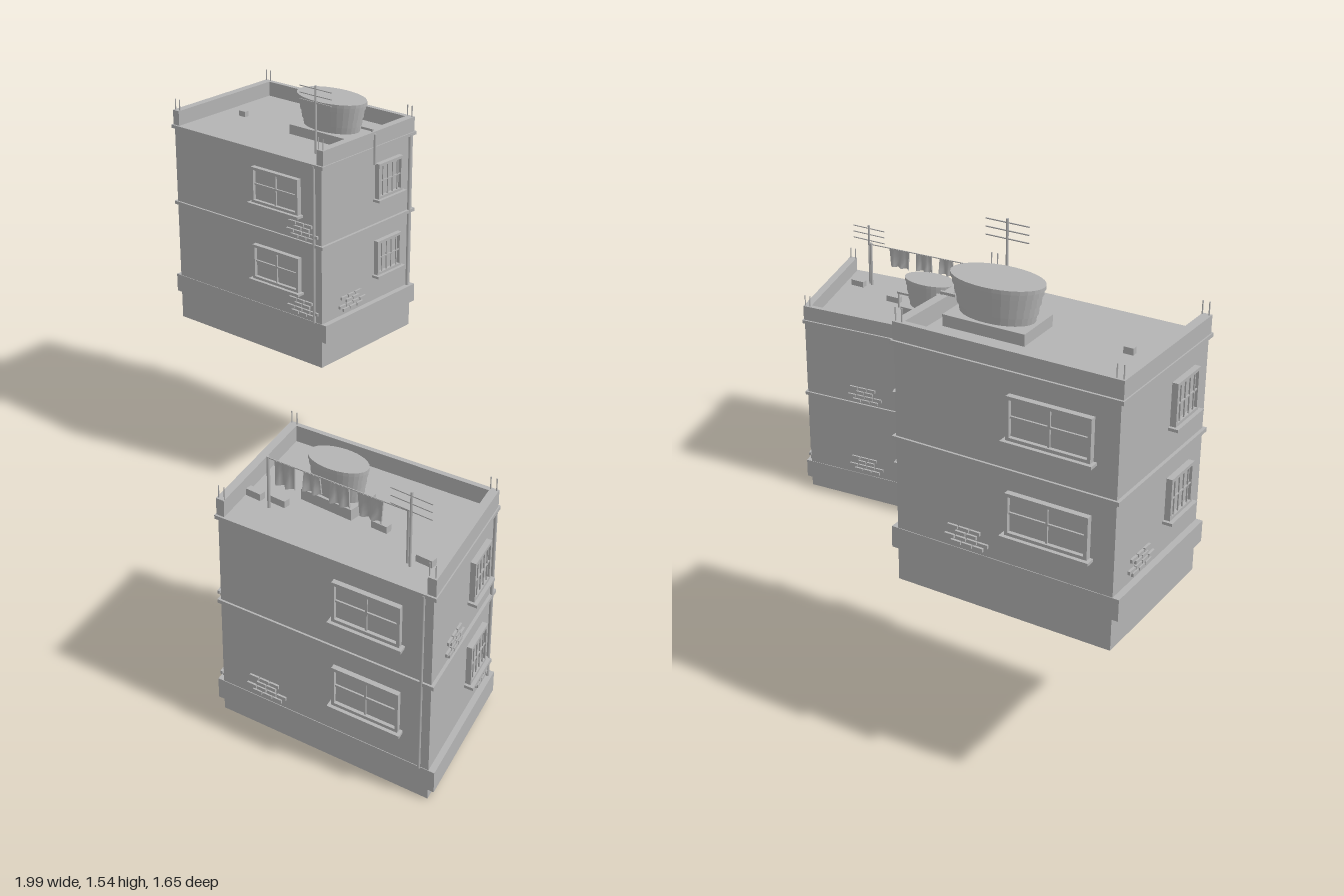
import * as THREE from 'three';
import { mergeGeometries } from 'three/addons/utils/BufferGeometryUtils.js';

const FLOOR = 0.29, ROOF = 0.58, PARAPET = 0.64;

// Gathers geometry under part names and turns each name into one mesh
function partCollector(material) {
  const parts = new Map();
  return {
    add(name, geometry, ...matrices) {
      for (const m of matrices) geometry.applyMatrix4(m);
      if (!parts.has(name)) parts.set(name, []);
      parts.get(name).push(geometry);
    },
    build(groupName) {
      const group = new THREE.Group();
      group.name = groupName;
      for (const [name, list] of parts) {
        const mesh = new THREE.Mesh(mergeGeometries(list), material);
        mesh.name = name;
        group.add(mesh);
      }
      return group;
    },
  };
}

const box = (w, h, d, x, y, z) => new THREE.BoxGeometry(w, h, d).translate(x, y, z);
const rod = (r, h, x, y, z) => new THREE.CylinderGeometry(r, r, h, 8).translate(x, y + h / 2, z);

// Framed window with sill on a wall plane, z pointing outward
function addWindow(add, u, y, w, h, grille, m) {
  const t = 0.01;
  add('windowPane', box(w, h, 0.006, u, y + h / 2, 0.003), ...m);
  for (const s of [-1, 1]) {
    add('windowFrame', box(t, h, 0.018, u + s * (w - t) / 2, y + h / 2, 0.009), ...m);
    add('windowFrame', box(w, t, 0.018, u, y + h / 2 + s * (h - t) / 2, 0.009), ...m);
  }
  add('windowSill', box(w + 0.02, 0.009, 0.03, u, y - 0.004, 0.015), ...m);
  if (grille) {
    for (let i = 1; i < 5; i++) {
      add('windowGrille', box(0.004, h, 0.004, u - w / 2 + (w * i) / 5, y + h / 2, 0.014), ...m);
    }
    add('windowGrille', box(w, 0.004, 0.004, u, y + h / 2, 0.014), ...m);
  } else {
    add('windowMullion', box(0.006, h, 0.012, u, y + h / 2, 0.006), ...m);
    add('windowMullion', box(w, 0.006, 0.012, u, y + h * 0.52, 0.006), ...m);
  }
}

// Patch of exposed bricks in staggered rows
function addBricks(add, u, y, m) {
  const rows = [[-0.03, 3], [-0.05, 4], [-0.015, 2], [-0.04, 3]];
  rows.forEach(([start, count], r) => {
    for (let i = 0; i < count; i++) {
      add('exposedBricks', box(0.032, 0.011, 0.008, u + start + i * 0.036, y + r * 0.016, 0.003), ...m);
    }
  });
}

// Oval water tank on a low plinth
function addTank(add, x, y, z, rx, rz, h) {
  add('tankBase', box(rx * 1.8, 0.035, rz * 1.9, x, y + 0.0175, z));
  const profile = [[0, 0], [0.8, 0], [0.83, 0.25], [0.86, 0.25], [0.88, 0.5], [0.91, 0.5],
    [0.93, 0.75], [0.96, 0.75], [0.97, 0.9], [1, 0.9], [1, 1], [0, 1]];
  const points = profile.map(([r, t]) => new THREE.Vector2(r, t));
  const tank = new THREE.LatheGeometry(points, 32).toNonIndexed();
  tank.computeVertexNormals();
  tank.scale(rx, h, rz).translate(x, y + 0.03, z);
  add('waterTank', tank);
  add('tankPipe', box(0.05, 0.008, 0.008, x + rx + 0.015, y + 0.06, z));
  add('tankPipe', rod(0.004, 0.06, x + rx + 0.035, y, z));
}

function addAntenna(add, x, y, z, h) {
  add('antenna', rod(0.004, h, x, y, z));
  for (let i = 0; i < 3; i++) {
    add('antenna', box(0.14, 0.003, 0.003, x, y + h - 0.012 - i * 0.024, z));
  }
}

function addClothesline(add, y) {
  const a = new THREE.Vector3(0.345, y, 0.68), b = new THREE.Vector3(0.825, y, 0.655);
  const turn = new THREE.Matrix4().makeRotationY(0.052);
  for (const p of [a, b]) add('clothesPole', rod(0.005, 0.17, p.x, y, p.z));
  const mid = a.clone().lerp(b, 0.5);
  const place = new THREE.Matrix4().makeTranslation(mid.x, y + 0.165, mid.z).multiply(turn);
  add('clothesline', box(0.48, 0.003, 0.003, 0, 0, 0), place);
  for (const [x, w, h] of [[-0.18, 0.07, 0.075], [-0.085, 0.055, 0.06], [0.01, 0.065, 0.065], [0.115, 0.085, 0.07]]) {
    const cloth = new THREE.BoxGeometry(w, h, 0.005, 8, 3, 1);
    const p = cloth.attributes.position;
    for (let i = 0; i < p.count; i++) {
      const drop = 0.5 - p.getY(i) / h;
      p.setZ(i, p.getZ(i) + Math.sin(p.getX(i) * 180) * 0.009 * drop);
    }
    cloth.computeVertexNormals();
    add('hangingClothes', cloth.translate(x, -h / 2, 0), place);
  }
}

// Walls, plinth, bands, windows and parapets of one two-storey house
function addHouse(add, { w, d, depth, lean, bricks }) {
  const put = (name, g) => add(name, g, lean);
  put('foundation', box(w, depth, d, 0, -depth / 2, 0));
  put('plinthBand', box(w + 0.04, 0.068, d + 0.004, 0, -0.034, 0));
  put('walls', box(w, ROOF, d, 0, ROOF / 2, 0));
  put('floorBand', box(w + 0.02, 0.012, d + 0.014, 0, FLOOR, 0));
  put('roofSlab', box(w + 0.02, 0.012, d + 0.014, 0, ROOF, 0));

  const ph = PARAPET - ROOF, py = ROOF + ph / 2;
  for (const s of [-1, 1]) {
    put('sideParapet', box(0.028, ph, d, s * (w / 2 - 0.008), py, 0));
    for (const t of [-1, 1]) {
      for (const k of [0, 0.02]) {
        put('cornerRebar', rod(0.002, 0.1, s * (w / 2 - k), ROOF, t * (d / 2 - 0.008)));
      }
    }
  }
  put('backParapet', box(w, ph, 0.018, 0, py, -d / 2 + 0.009));

  // Wall planes: turn, span, distance, window width, grille, brick offset
  const faces = [
    [0, w, d / 2, 0.31 * w, false],
    [Math.PI / 2, d, w / 2, 0.27 * d, true],
    [Math.PI, w, d / 2, 0.37 * w, false],
    [-Math.PI / 2, d, w / 2, 0.27 * d, true],
  ];
  faces.forEach(([angle, span, out, ww, grille], i) => {
    const wall = new THREE.Matrix4().makeRotationY(angle)
      .multiply(new THREE.Matrix4().makeTranslation(0, 0, out));
    for (let f = 0; f < 2; f++) {
      addWindow(add, span * 0.21, f * FLOOR + 0.1, ww, 0.13, grille, [wall, lean]);
      const u = bricks[i][f];
      if (u !== null) addBricks(add, span * u, f * FLOOR + 0.018, [wall, lean]);
    }
  });

  // Drainpipes and the roof overflow spout
  put('drainpipe', rod(0.006, ROOF, w / 2 + 0.006, 0, -d / 2 + 0.022));
  put('drainpipe', rod(0.005, ROOF, w / 2 - 0.03, 0, d / 2 + 0.005));
}

export function createModel() {
  const concrete = new THREE.MeshStandardMaterial({ color: 0xb4b4b4 });
  concrete.name = 'concrete';
  const model = new THREE.Group();
  model.name = 'hillsideHouses';

  // Skewed footprint frame: house x axis, house z axis and origin
  const frame = (ax, az, x, y, z) => new THREE.Matrix4().makeBasis(
    new THREE.Vector3(ax[0], 0, ax[1]), new THREE.Vector3(0, 1, 0), new THREE.Vector3(az[0], 0, az[1]),
  ).setPosition(x, y, z);

  // Upper house at the back
  const upper = partCollector(concrete);
  const upperY = 0.71;
  addHouse(upper.add, {
    w: 0.68, d: 0.485, depth: 0.17,
    lean: frame([1, 0], [-0.04, 1], -0.615, upperY, -0.563),
    bricks: [[0.37, 0.37], [-0.18, null], [-0.17, null], [-0.2, null]],
  });
  const upperRoof = upperY + ROOF + 0.006;
  addTank(upper.add, -0.455, upperRoof, -0.583, 0.143, 0.082, 0.115);
  addAntenna(upper.add, -0.38, upperRoof, -0.405, 0.24);
  upper.add('roofBlock', box(0.03, 0.02, 0.018, -0.84, upperRoof + 0.01, -0.55));
  upper.add('overflowPipe', rod(0.005, 0.11, -0.26, 1.235, -0.58));
  model.add(upper.build('upperHouse'));

  // Lower house at the front
  const lower = partCollector(concrete);
  const lowerY = 0.102;
  addHouse(lower.add, {
    w: 0.72, d: 0.5, depth: 0.102,
    lean: frame([0.996, -0.088], [0.26, 0.966], 0.553, lowerY, 0.53),
    bricks: [[-0.28, null], [0.37, -0.16], [-0.17, -0.17], [0.37, 0.37]],
  });
  const lowerRoof = lowerY + ROOF + 0.006;
  addTank(lower.add, 0.48, lowerRoof, 0.53, 0.103, 0.06, 0.112);
  addAntenna(lower.add, 0.84, lowerRoof, 0.665, 0.235);
  addClothesline(lower.add, lowerRoof);
  for (const [x, z] of [[0.275, 0.66], [0.355, 0.645], [0.665, 0.567], [0.865, 0.625]]) {
    lower.add('roofBlock', box(0.055, 0.022, 0.022, x, lowerRoof + 0.011, z));
  }
  model.add(lower.build('lowerHouse'));
  return model;
}
